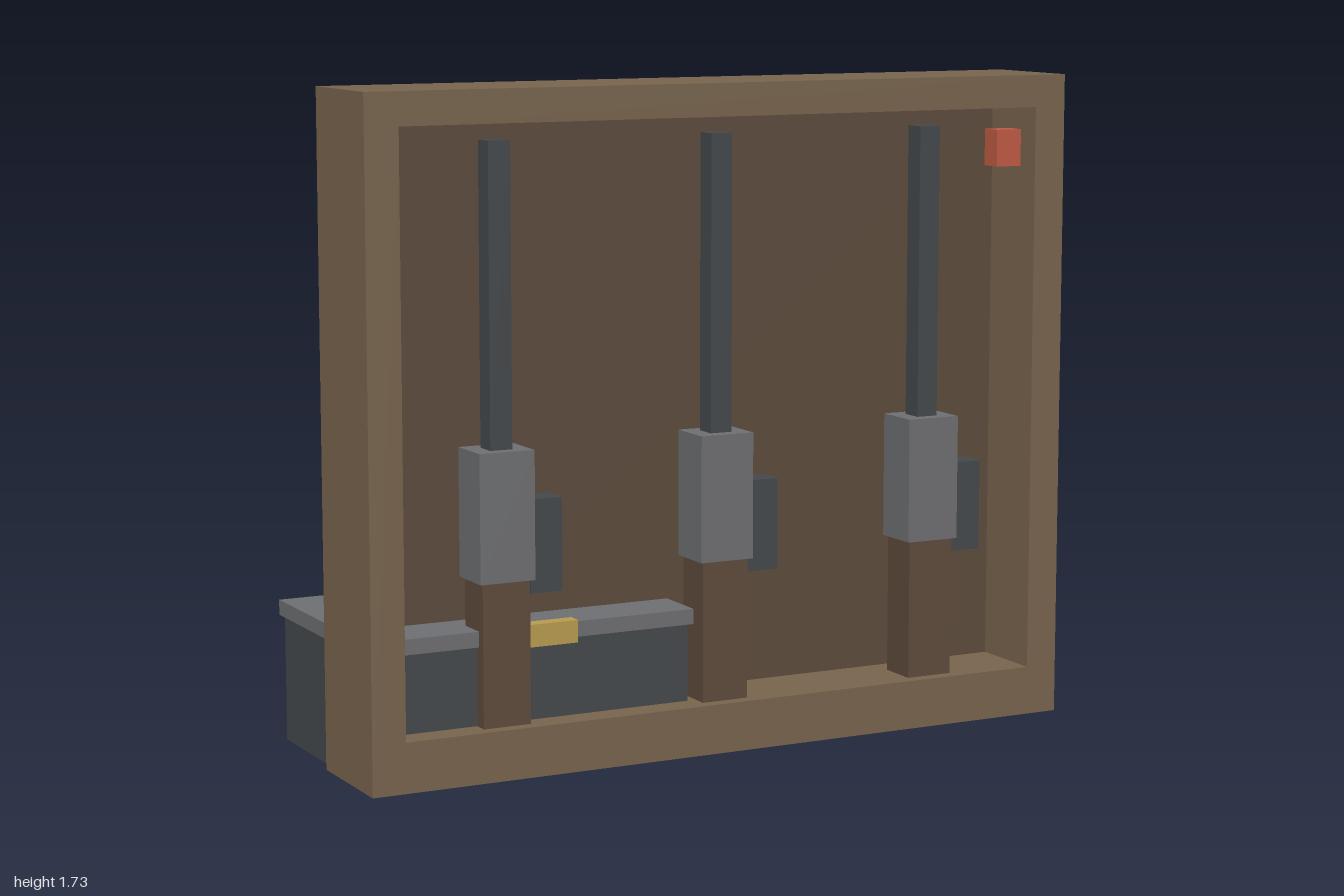
import * as THREE from 'three';

const mat = (color) => new THREE.MeshStandardMaterial({ color, flatShading: true });
const wood = mat(0x78644e), panelWood = mat(0x5c4b3c), stockWood = mat(0x5f4a3b);
const steel = mat(0x6e6f72), darkSteel = mat(0x45494c), brass = mat(0xb89b50), red = mat(0xc05a44);

// Box given by its lower and upper corners
function box(parent, name, material, [x0, y0, z0], [x1, y1, z1]) {
  const mesh = new THREE.Mesh(new THREE.BoxGeometry(x1 - x0, y1 - y0, z1 - z0), material);
  mesh.position.set((x0 + x1) / 2, (y0 + y1) / 2, (z0 + z1) / 2);
  mesh.name = name;
  parent.add(mesh);
  return mesh;
}

function rect(path, x0, y0, x1, y1) {
  path.moveTo(x0, y0);
  path.lineTo(x1, y0);
  path.lineTo(x1, y1);
  path.lineTo(x0, y1);
  path.closePath();
  return path;
}

// One upright rifle, centred on its own x = 0
function createRifle(x) {
  const g = new THREE.Group();
  g.name = 'rifle';
  box(g, 'stock', stockWood, [-0.065, 0.13, 0.185], [0.065, 0.5, 0.295]);
  box(g, 'receiver', steel, [-0.075, 0.5, 0.175], [0.075, 0.83, 0.305]);
  box(g, 'barrel', darkSteel, [-0.03, 0.83, 0.21], [0.03, 1.6, 0.27]);
  box(g, 'magazine', darkSteel, [0.075, 0.46, 0.203], [0.163, 0.7, 0.277]);
  g.position.x = x;
  return g;
}

export function createModel() {
  const model = new THREE.Group();
  model.name = 'weaponRack';

  // Wooden case frame with a rectangular opening
  const outline = rect(new THREE.Shape(), -1, 0, 1, 1.73);
  outline.holes.push(rect(new THREE.Path(), -0.91, 0.13, 0.91, 1.645));
  const frame = new THREE.Mesh(
    new THREE.ExtrudeGeometry(outline, { depth: 0.312, bevelEnabled: false }), wood);
  frame.position.z = 0.018;
  frame.name = 'frame';
  model.add(frame);

  // Back panel closing the opening
  box(model, 'backPanel', panelWood, [-0.91, 0.13, 0.018], [0.91, 1.645, 0.12]);

  // Row of rifles
  for (const x of [-0.62, 0, 0.62]) model.add(createRifle(x));

  // Ammunition crate running through the lower corner
  const crate = new THREE.Group();
  crate.name = 'crate';
  box(crate, 'crateBody', darkSteel, [-0.98, 0.002, -0.315], [-0.09, 0.335, 0.255]);
  box(crate, 'crateLid', steel, [-0.99, 0.335, -0.33], [-0.08, 0.375, 0.27]);
  box(crate, 'crateLatch', brass, [-0.65, 0.325, 0.25], [-0.42, 0.383, 0.29]);
  model.add(crate);

  // Small tag on the inner side wall
  box(model, 'redTag', red, [0.835, 1.485, 0.2], [0.912, 1.583, 0.26]);

  return model;
}
